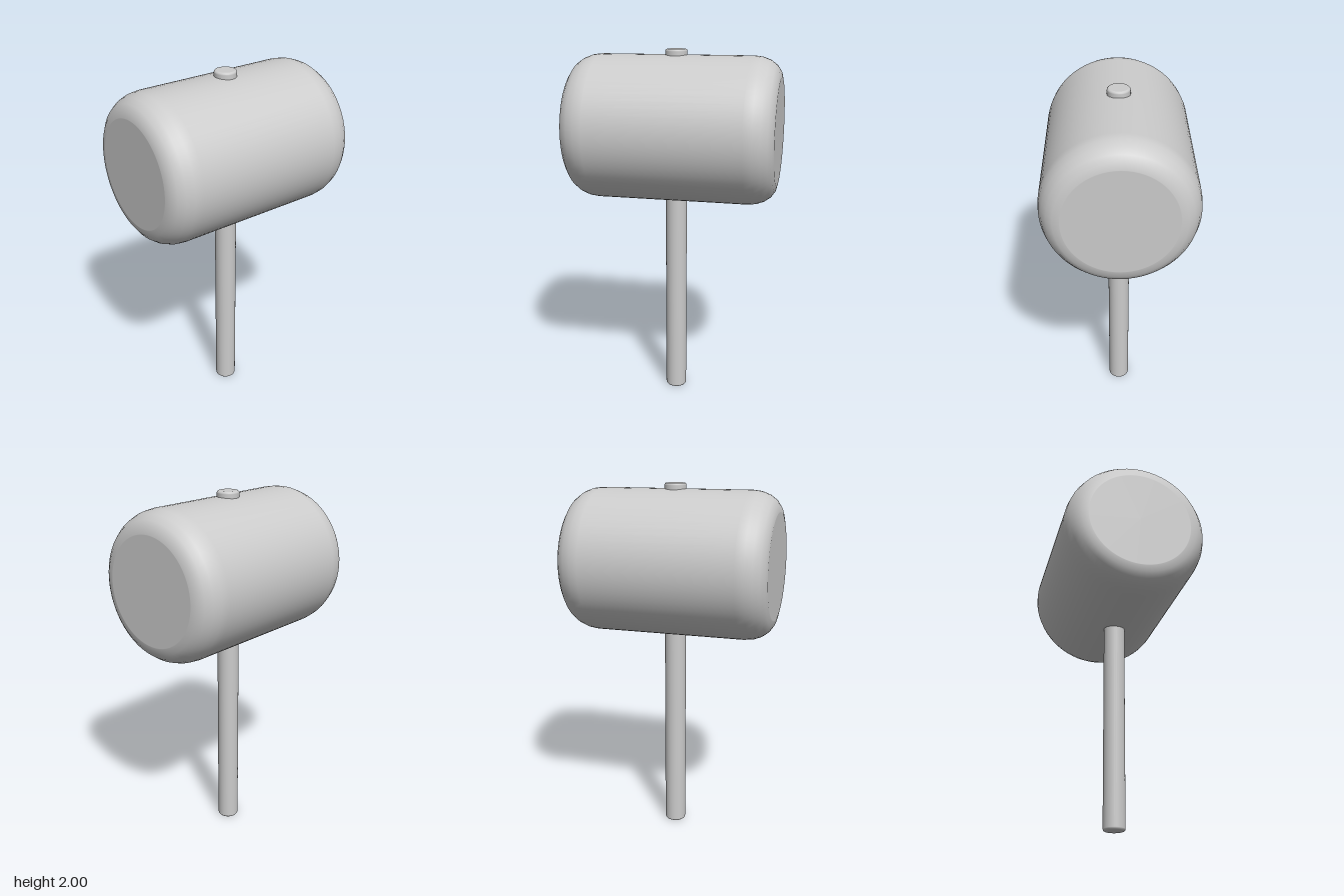
import * as THREE from 'three';

const material = new THREE.MeshStandardMaterial({ color: 0xcccccc });

// Solid cylinder along y, from -half to +half, with elliptically rounded rims
function roundedCylinder(name, radius, half, bevelR, bevelH, steps, sides) {
  const face = radius - bevelR;
  const rim = [];
  for (let i = 0; i <= steps; i++) {
    const a = (i / steps) * Math.PI / 2;
    rim.push([face + bevelR * Math.sin(a), half - bevelH * (1 - Math.cos(a))]);
  }
  // the extra point just inside each rim keeps the end face flat-shaded
  const end = [[0, half], [face * 0.99, half], ...rim];
  const profile = [
    ...end.map(([r, y]) => new THREE.Vector2(r, -y)),
    ...end.slice().reverse().map(([r, y]) => new THREE.Vector2(r, y)),
  ];
  const mesh = new THREE.Mesh(new THREE.LatheGeometry(profile, sides), material);
  mesh.name = name;
  return mesh;
}

export function createModel() {
  const group = new THREE.Group();
  group.name = 'mallet';

  // barrel-shaped head lying along z
  const head = roundedCylinder('head', 0.4, 0.57, 0.11, 0.15, 5, 64);
  head.rotation.x = Math.PI / 2;
  head.position.y = 1.57;

  // handle running through the head and poking out on top
  const handle = roundedCylinder('handle', 0.06, 1, 0.011, 0.012, 3, 32);
  handle.position.y = 1;

  group.add(head, handle);
  return group;
}
